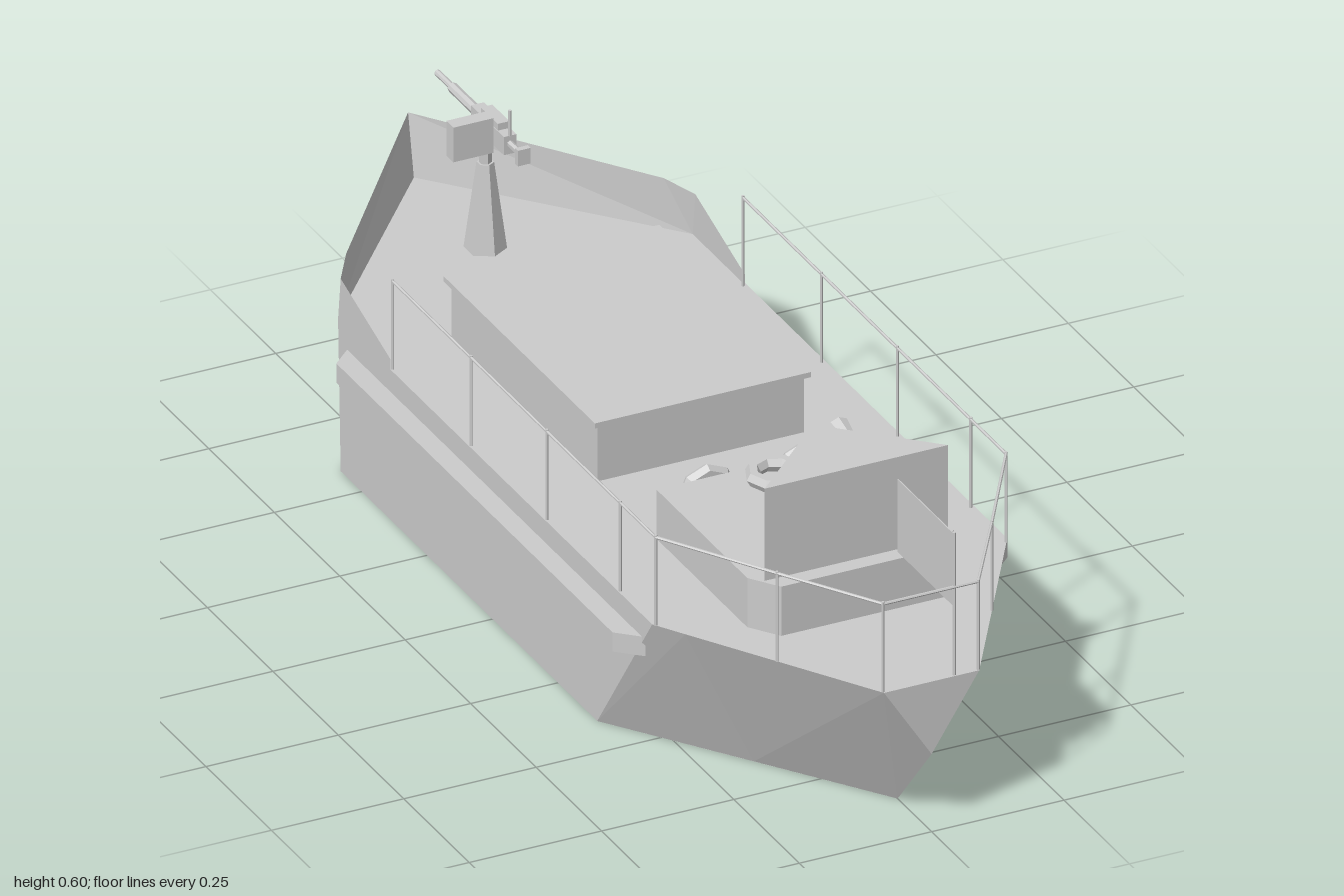
import * as THREE from 'three';

const mat = new THREE.MeshStandardMaterial({ color: 0xcccccc, flatShading: true, side: THREE.DoubleSide });

function add(parent, name, geometry, x = 0, y = 0, z = 0) {
  const mesh = new THREE.Mesh(geometry, mat);
  mesh.name = name;
  mesh.position.set(x, y, z);
  parent.add(mesh);
  return mesh;
}

// Box given by its extents
function box(parent, name, x0, x1, y0, y1, z0, z1) {
  return add(parent, name, new THREE.BoxGeometry(x1 - x0, y1 - y0, z1 - z0),
    (x0 + x1) / 2, (y0 + y1) / 2, (z0 + z1) / 2);
}

// Upright prism from a plan outline of [x, z] points
function prism(parent, name, plan, y0, y1) {
  const shape = new THREE.Shape(plan.map(([x, z]) => new THREE.Vector2(x, -z)));
  const geometry = new THREE.ExtrudeGeometry(shape, { depth: y1 - y0, bevelEnabled: false });
  return add(parent, name, geometry.rotateX(-Math.PI / 2), 0, y0, 0);
}

// Round bar between two points, r0 at the start and r1 at the end
function bar(parent, name, a, b, r0, r1 = r0, sides = 6) {
  const from = new THREE.Vector3(...a), to = new THREE.Vector3(...b);
  const dir = to.clone().sub(from);
  const mesh = add(parent, name, new THREE.CylinderGeometry(r1, r0, dir.length(), sides));
  mesh.position.copy(from).add(to).multiplyScalar(0.5);
  mesh.quaternion.setFromUnitVectors(new THREE.Vector3(0, 1, 0), dir.normalize());
  return mesh;
}

// Faceted surface from polygons of one half, mirrored across x = 0
function mirroredFacets(polygons) {
  const pos = [];
  for (const p of polygons) {
    for (let i = 1; i < p.length - 1; i++) {
      const tri = [p[0], p[i], p[i + 1]];
      tri.forEach(v => pos.push(...v));
      tri.reverse().forEach(([x, y, z]) => pos.push(-x, y, z));
    }
  }
  const geometry = new THREE.BufferGeometry();
  geometry.setAttribute('position', new THREE.Float32BufferAttribute(pos, 3));
  geometry.computeVertexNormals();
  return geometry;
}

function buildHull(parent) {
  const W = 0.335, D = 0.29;
  const chineAft = [W, 0, 0.4], chineMid = [0.16, 0, 0.645], chineFwd = [W, 0, -0.58];
  const keelAft = [0, 0, 0.87], keelFwd = [0, 0, -0.58];
  const transomLow = [0, 0.15, 1], transomMid = [0, D, 1], transomEdge = [0.09, D, 1];
  const quarter = [0.3, D, 0.666], deckAft = [W, D, 0.61], deckFwd = [W, D, -0.59];
  const stemLow = [0, 0.145, -0.95], stemDeck = [0, D, -0.978], stemTop = [0, 0.405, -1];
  const rise0 = [W, D, -0.39], rise1 = [W, 0.31, -0.39], rise2 = [W, 0.372, -0.58], rise3 = [0.3, 0.387, -0.63];
  add(parent, 'hull', mirroredFacets([
    [chineAft, chineFwd, deckFwd, deckAft],
    [chineFwd, stemLow, stemDeck, deckFwd],
    [keelAft, keelFwd, chineFwd, chineAft],
    [keelFwd, stemLow, chineFwd],
    [chineAft, deckAft, quarter],
    [chineMid, chineAft, quarter],
    [chineMid, quarter, transomEdge],
    [keelAft, chineMid, transomEdge],
    [keelAft, transomEdge, transomLow],
    [transomLow, transomEdge, transomMid],
  ]));
  add(parent, 'deck', mirroredFacets([
    [transomMid, transomEdge, quarter, deckAft, deckFwd, stemDeck],
  ]));
  add(parent, 'bowBulwark', mirroredFacets([
    [rise0, deckFwd, rise2, rise1],
    [deckFwd, rise3, rise2],
    [deckFwd, stemDeck, stemTop, rise3],
  ]));
  // Rubbing strakes with chamfered ends
  for (const s of [1, -1]) {
    prism(parent, s > 0 ? 'leftRubbingStrake' : 'rightRubbingStrake',
      [[0.33 * s, 0.575], [0.373 * s, 0.535], [0.373 * s, -0.52], [0.33 * s, -0.56]], 0.21, 0.247);
  }
}

function buildRailing(parent) {
  const rail = new THREE.Group();
  rail.name = 'railing';
  parent.add(rail);
  const top = 0.46, r = 0.0028;
  const stations = [[0.331, -0.39], [0.331, -0.09], [0.331, 0.2], [0.331, 0.48], [0.331, 0.615], [0.203, 0.82], [0.09, 0.996]];
  for (const s of [1, -1]) {
    stations.forEach(([x, z], i) => {
      bar(rail, 'railPost', [x * s, 0.29, z], [x * s, top + 0.004, z], r);
      if (i) {
        const [px, pz] = stations[i - 1];
        bar(rail, 'handrail', [px * s, top, pz], [x * s, top, z], r);
      }
    });
  }
  bar(rail, 'sternHandrail', [-0.09, top, 0.996], [0.09, top, 0.996], r);
}

function buildDeckhouse(parent) {
  prism(parent, 'cabin', [[-0.195, 0.343], [0.195, 0.343], [0.195, 0.69], [0.157, 0.743], [-0.157, 0.743], [-0.195, 0.69]], 0.29, 0.385);
  prism(parent, 'steeringShelter', [[-0.025, 0.57], [0.025, 0.57], [0.173, 0.712], [-0.173, 0.712]], 0.385, 0.563);

  // Lifebuoys: two hung on the cabin wall, one lying on the roof
  const ring = new THREE.TorusGeometry(0.041, 0.014, 6, 8);
  for (const x of [-0.093, 0.093]) add(parent, 'wallLifebuoy', ring, x, 0.348, 0.33);
  add(parent, 'roofLifebuoy', ring, 0, 0.398, 0.405).rotation.x = Math.PI / 2;

  // Searchlight on a small stand
  const light = new THREE.Group();
  light.name = 'searchlight';
  parent.add(light);
  bar(light, 'lightStand', [0.14, 0.385, 0.395], [0.14, 0.425, 0.395], 0.009, 0.007);
  bar(light, 'lightHousing', [0.14, 0.424, 0.43], [0.14, 0.431, 0.36], 0.01, 0.022, 8);

  // Cargo hatch with an overhanging lid
  box(parent, 'hatch', -0.195, 0.195, 0.29, 0.398, -0.44, 0.118);
  box(parent, 'hatchLid', -0.204, 0.204, 0.398, 0.408, -0.452, 0.126);
}

function buildFlag(parent) {
  bar(parent, 'flagStaff', [0.045, 0.29, 0.995], [0.045, 0.565, 0.995], 0.003);
  box(parent, 'flag', 0.044, 0.046, 0.422, 0.562, 0.78, 0.995);
}

function buildDeckGun(parent) {
  const gun = new THREE.Group();
  gun.name = 'deckGun';
  parent.add(gun);
  bar(gun, 'pedestal', [0, 0.29, -0.705], [0, 0.455, -0.705], 0.037, 0.015);
  bar(gun, 'swivel', [0, 0.455, -0.705], [0, 0.49, -0.705], 0.011);
  bar(gun, 'cradle', [0, 0.48, -0.712], [0, 0.525, -0.685], 0.013, 0.013, 4);
  box(gun, 'receiver', -0.012, 0.012, 0.517, 0.552, -0.735, -0.61);
  box(gun, 'topCover', -0.011, 0.011, 0.55, 0.565, -0.7, -0.635);
  bar(gun, 'barrelSleeve', [0, 0.537, -0.73], [0, 0.537, -0.83], 0.0095, 0.0095, 8);
  bar(gun, 'barrel', [0, 0.537, -0.82], [0, 0.537, -0.888], 0.006, 0.006, 8);
  bar(gun, 'gripBar', [0, 0.537, -0.61], [0, 0.537, -0.565], 0.006);
  box(gun, 'grip', -0.012, 0.012, 0.522, 0.552, -0.567, -0.556);
  bar(gun, 'sight', [0, 0.55, -0.612], [0, 0.6, -0.612], 0.003);
  box(gun, 'ammunitionBox', -0.09, -0.014, 0.505, 0.572, -0.672, -0.645);
}

export function createModel() {
  const boat = new THREE.Group();
  boat.name = 'patrolBoat';
  buildHull(boat);
  buildRailing(boat);
  buildDeckhouse(boat);
  buildFlag(boat);
  buildDeckGun(boat);
  return boat;
}
